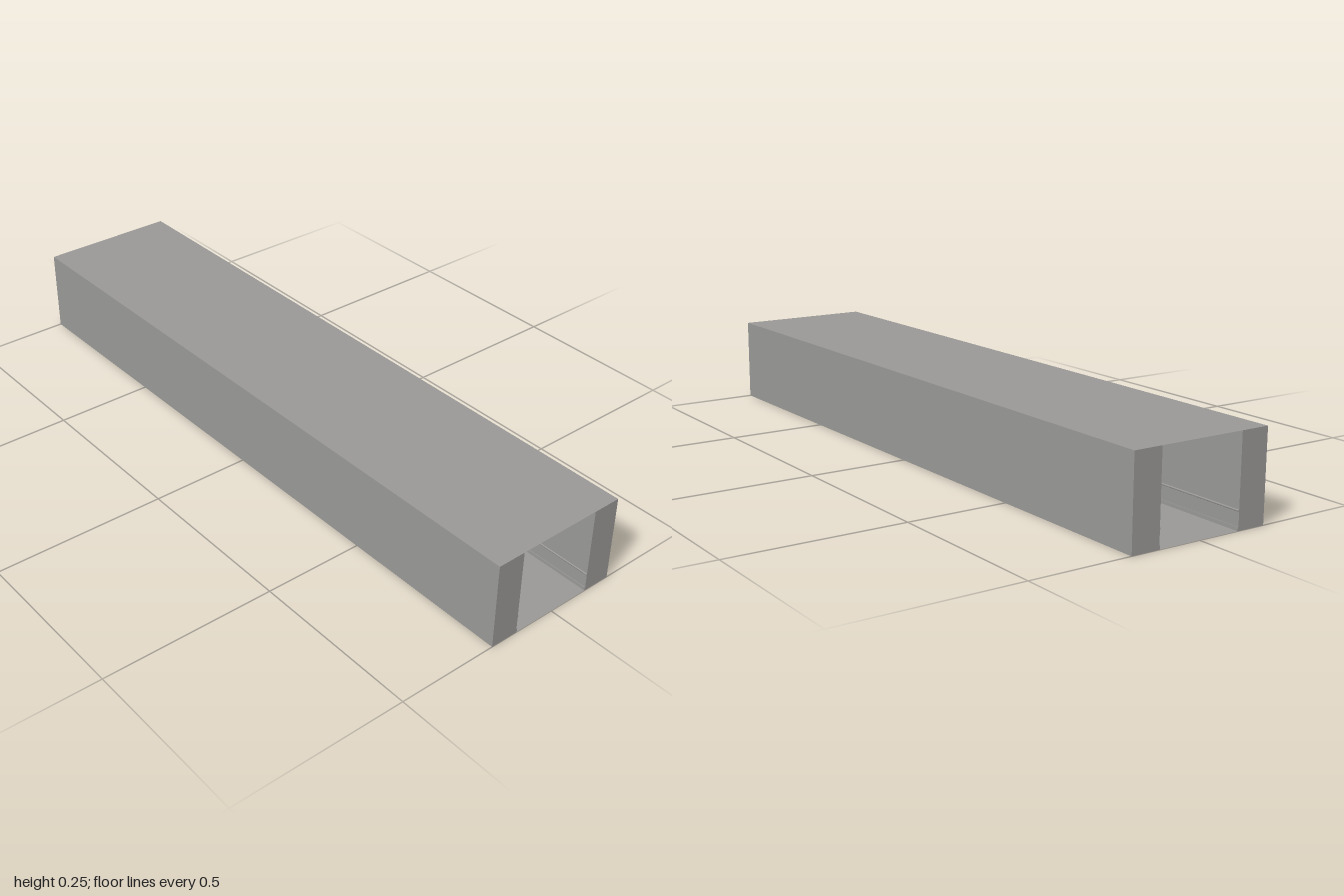
import * as THREE from 'three';

export function createModel() {
  const model = new THREE.Group();
  const grey = new THREE.MeshStandardMaterial({ color: 0x999896, side: THREE.DoubleSide });
  grey.name = 'warm grey';

  function add(parent, name, geometry, x, y, z) {
    const mesh = new THREE.Mesh(geometry, grey);
    mesh.name = name;
    mesh.position.set(x, y, z);
    parent.add(mesh);
    return mesh;
  }
  const box = (parent, name, w, h, d, x, y, z) =>
    add(parent, name, new THREE.BoxGeometry(w, h, d), x, y, z);

  // Thick side walls, each with a skirting board and a slim handrail
  for (const s of [1, -1]) {
    const side = s > 0 ? 'left' : 'right';
    box(model, side + 'Wall', 0.083, 0.25, 2, s * 0.1665, 0.125, 0);
    box(model, side + 'Skirting', 0.002, 0.01, 2, s * 0.124, 0.005, 0);
    const rail = add(model, side + 'Handrail', new THREE.CylinderGeometry(0.003, 0.003, 2, 8), s * 0.1255, 0.051, 0);
    rail.rotation.x = Math.PI / 2;
  }

  // Paper-thin floor and ceiling between the walls
  for (const [name, y, turn] of [['floor', 0, -1], ['ceiling', 0.25, -1]]) {
    const sheet = add(model, name, new THREE.PlaneGeometry(0.25, 2), 0, y, 0);
    sheet.rotation.x = turn * Math.PI / 2;
  }

  // Hanging signs near the ends of the corridor
  for (const z of [-0.88, 0.88]) {
    const sign = new THREE.Group();
    sign.name = 'hangingSign';
    sign.position.z = z;
    box(sign, 'signPanel', 0.058, 0.015, 0.006, 0, 0.23, 0);
    add(sign, 'signRod', new THREE.CylinderGeometry(0.0008, 0.0008, 0.012, 6), 0, 0.244, 0);
    model.add(sign);
  }

  // Sliding window: frame, two overlapping panes and a sill
  const opening = new THREE.Group();
  opening.name = 'window';
  box(opening, 'frameTop', 0.16, 0.004, 0.02, 0, 0.203, 0);
  box(opening, 'frameBottom', 0.16, 0.003, 0.02, 0, 0.0815, 0);
  for (const s of [1, -1]) box(opening, 'frameSide', 0.005, 0.121, 0.02, s * 0.0775, 0.1425, 0);
  box(opening, 'slidingPane', 0.075, 0.118, 0.004, -0.0375, 0.142, 0.005);
  box(opening, 'fixedPane', 0.075, 0.118, 0.004, 0.0375, 0.142, -0.003);
  box(opening, 'sill', 0.164, 0.003, 0.03, 0, 0.0785, 0);
  model.add(opening);

  return model;
}
